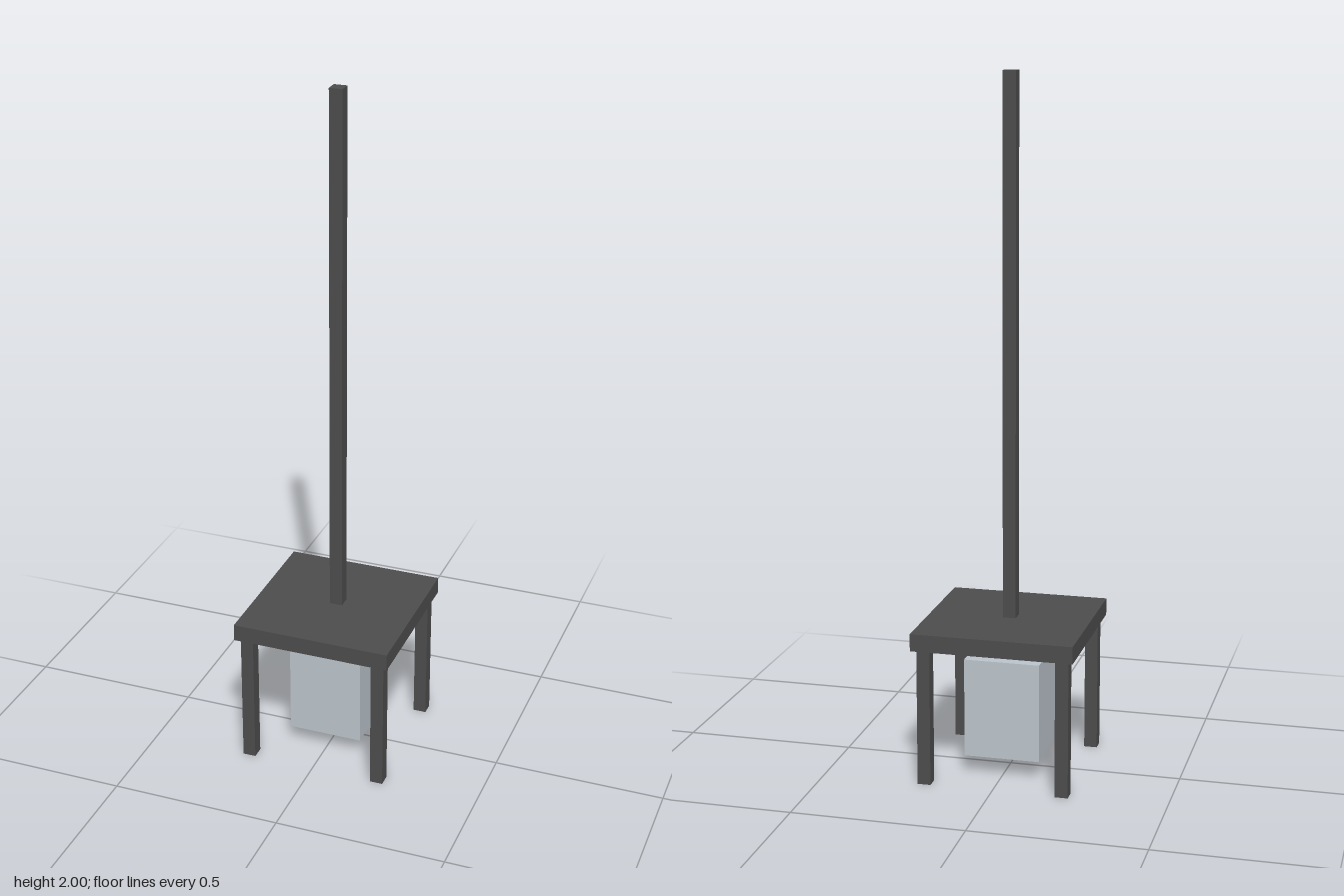
import * as THREE from 'three';

export function createModel() {
  const model = new THREE.Group();
  model.name = 'hangingLantern';

  const metal = new THREE.MeshStandardMaterial({ color: 0x4c4c4c });
  metal.name = 'dark metal';
  const glass = new THREE.MeshStandardMaterial({ color: 0xbac3ca });
  glass.name = 'pale glass';

  // Square block standing between two heights
  function block(name, width, bottom, top, material, x = 0, z = 0) {
    const mesh = new THREE.Mesh(new THREE.BoxGeometry(width, top - bottom, width), material);
    mesh.name = name;
    mesh.position.set(x, (bottom + top) / 2, z);
    model.add(mesh);
  }

  // Long hanging rod and the square cap below it
  block('rod', 0.038, 0.45, 2, metal);
  block('cap', 0.467, 0.4, 0.45, metal);

  // Four corner posts
  for (const [side, x] of [['Left', 0.2], ['Right', -0.2]]) {
    for (const [end, z] of [['front', 0.2], ['back', -0.2]]) {
      block(`${end}${side}Post`, 0.038, 0, 0.4, metal, x, z);
    }
  }

  // Glass block floating in the middle
  block('lampGlass', 0.22, 0.055, 0.345, glass);

  return model;
}
